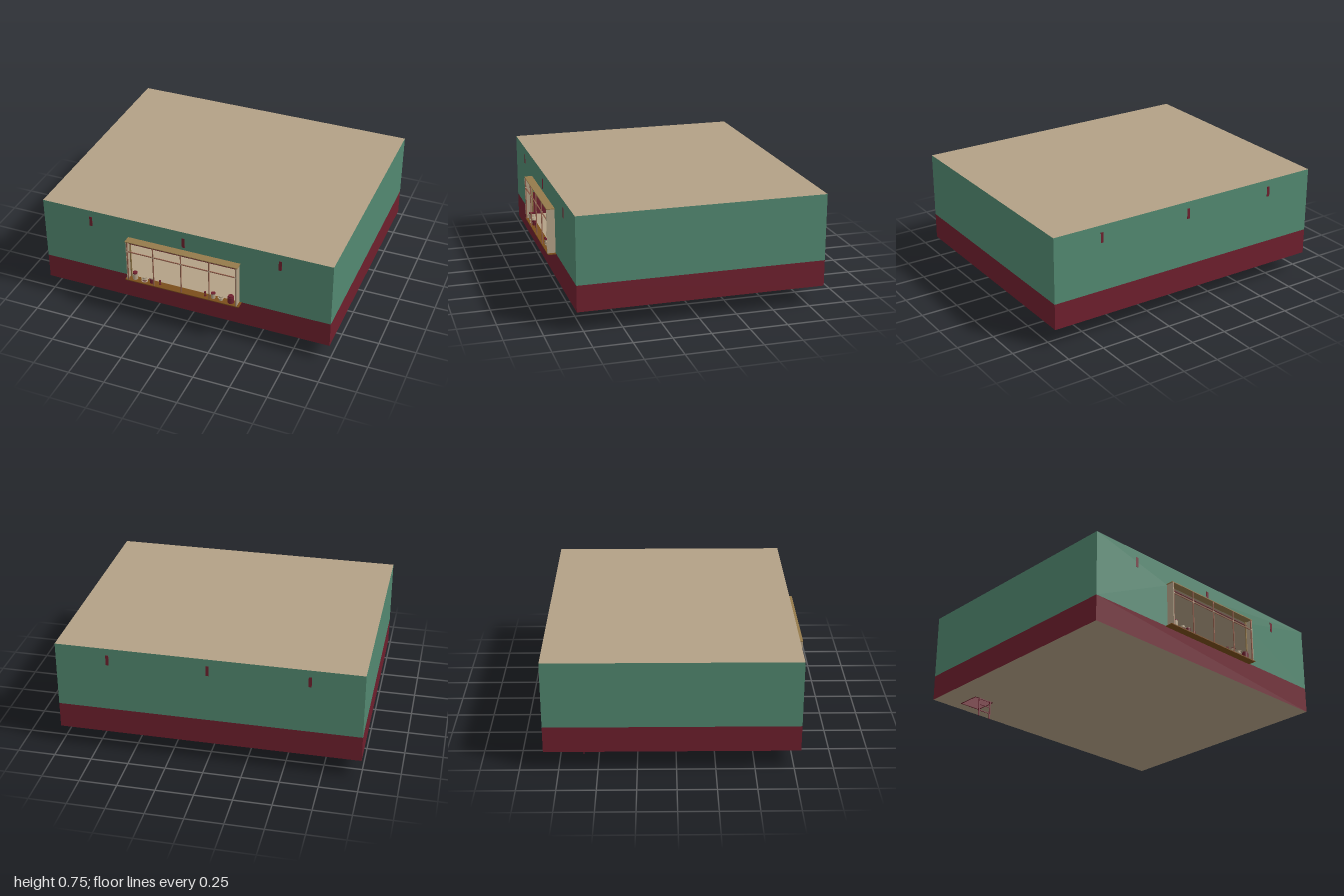
import * as THREE from 'three';

const paint = (name, color, side = THREE.FrontSide) => {
  const m = new THREE.MeshStandardMaterial({ color, side });
  m.name = name;
  return m;
};

// Rectangle outline with optional rectangular hole, each [x0, y0, x1, y1]
function panel([x0, y0, x1, y1], hole) {
  const trace = (p, [a, b, c, d]) => p.moveTo(a, b).lineTo(c, b).lineTo(c, d).lineTo(a, d).closePath();
  const s = trace(new THREE.Shape(), [x0, y0, x1, y1]);
  if (hole) s.holes.push(trace(new THREE.Path(), hole));
  return new THREE.ShapeGeometry(s);
}

export function createModel() {
  const room = new THREE.Group();
  room.name = 'diningRoom';
  const green = paint('green wall', 0x528870, THREE.DoubleSide);
  const maroon = paint('maroon', 0x6e1f2d, THREE.DoubleSide);
  const tan = paint('tan', 0xb3a186, THREE.DoubleSide);
  const wood = paint('light wood', 0x957a4b);
  const brown = paint('brown wood', 0x7a4d1a);
  const rust = paint('rust trim', 0x94604c);

  const add = (name, geo, mat, x = 0, y = 0, z = 0, parent = room) => {
    const m = new THREE.Mesh(geo, mat);
    m.name = name;
    m.position.set(x, y, z);
    parent.add(m);
    return m;
  };
  const box = (name, mat, w, h, d, x, y, z, parent) =>
    add(name, new THREE.BoxGeometry(w, h, d), mat, x, y, z, parent);

  const Z0 = -0.845, Z1 = 0.79, Y0 = 0.13, YW = 0.305, Y1 = 0.75;
  const midZ = (Z0 + Z1) / 2, depth = Z1 - Z0;

  // Front and back walls, the front one open at the bay window
  add('frontWall', panel([-1, YW, 1, Y1], [-0.38, YW + 0.001, 0.38, 0.606]), green, 0, 0, Z1);
  add('frontWainscot', panel([-1, Y0, 1, YW]), maroon, 0, 0, Z1);
  add('backWall', panel([-1, YW, 1, Y1]), green, 0, 0, Z0).rotation.y = Math.PI;
  add('backWainscot', panel([-1, Y0, 1, YW]), maroon, 0, 0, Z0).rotation.y = Math.PI;

  // Side walls
  for (const s of [-1, 1]) {
    add('sideWall', panel([-depth / 2, YW, depth / 2, Y1]), green, s, 0, midZ).rotation.y = s * Math.PI / 2;
    add('sideWainscot', panel([-depth / 2, Y0, depth / 2, YW]), maroon, s, 0, midZ).rotation.y = s * Math.PI / 2;
  }

  // Ceiling, and floor with its hatch opening
  add('ceiling', panel([-1, -Z1, 1, -Z0]), tan, 0, Y1, 0).rotation.x = -Math.PI / 2;
  add('floor', panel([-1, -Z1, 1, -Z0], [-0.82, 0.61, -0.68, 0.76]), tan, 0, Y0, 0).rotation.x = -Math.PI / 2;
  add('hatchRim', panel([-0.828, 0.602, -0.672, 0.768], [-0.82, 0.61, -0.68, 0.76]), maroon, 0, Y0 - 0.001, 0)
    .rotation.x = -Math.PI / 2;

  // Ladder below the hatch
  const ladder = new THREE.Group();
  ladder.name = 'ladder';
  room.add(ladder);
  for (const x of [-0.793, -0.703]) box('ladderRail', maroon, 0.009, 0.13, 0.007, x, 0.065, -0.6, ladder);
  for (const y of [0.04, 0.085, 0.125]) box('ladderRung', maroon, 0.09, 0.006, 0.006, -0.748, y, -0.6, ladder);

  // Wall light plates, let into both long walls
  for (const z of [Z0, Z1])
    for (const x of [-0.655, 0, 0.655]) box('lightPlate', maroon, 0.02, 0.07, 0.004, x, 0.667, z);

  // Bay window: sill, top board, cheeks and glazing bars
  const bay = new THREE.Group();
  bay.name = 'bayWindow';
  room.add(bay);
  const zf = 0.84, zm = 0.8175;
  box('sill', brown, 0.8, 0.007, 0.055, 0, 0.3035, zm, bay);
  box('topBoard', wood, 0.78, 0.006, 0.055, 0, 0.609, zm, bay);
  for (const s of [-1, 1]) {
    box('cheek', tan, 0.005, 0.3, 0.055, s * 0.3825, 0.456, zm, bay);
    box('innerPost', wood, 0.008, 0.3, 0.008, s * 0.376, 0.456, 0.795, bay);
  }
  for (const x of [-0.377, -0.195, 0, 0.195, 0.377]) box('mullion', rust, 0.006, 0.3, 0.007, x, 0.456, zf, bay);
  box('transom', rust, 0.76, 0.006, 0.006, 0, 0.533, zf, bay);
  for (const x of [-0.377, -0.195, 0, 0.195, 0.377]) box('joint', tan, 0.012, 0.01, 0.009, x, 0.533, zf, bay);
  for (const y of [0.567, 0.582]) box('curtainRod', maroon, 0.76, 0.005, 0.005, 0, y, 0.797, bay);

  // Crockery on the sill: stacks of discs [radius, height, material]
  const stack = (name, x, parts) => {
    const g = new THREE.Group();
    g.name = name;
    g.position.set(x, 0.307, 0.814);
    let y = 0;
    for (const [r, h, mat] of parts) {
      add(name + 'Part', new THREE.CylinderGeometry(r, r, h, 16), mat, 0, y + h / 2, 0, g);
      y += h;
    }
    bay.add(g);
  };
  stack('jar', -0.34, [[0.018, 0.044, tan], [0.016, 0.008, maroon]]);
  stack('cupStack', -0.273, [[0.022, 0.004, tan], [0.015, 0.012, maroon], [0.022, 0.004, tan], [0.015, 0.014, tan]]);
  stack('mug', -0.22, [[0.015, 0.034, maroon], [0.012, 0.006, tan]]);
  stack('candle', -0.162, [[0.007, 0.005, maroon], [0.003, 0.016, maroon], [0.006, 0.012, maroon]]);
  stack('candle', 0.157, [[0.007, 0.005, maroon], [0.003, 0.016, maroon], [0.006, 0.012, maroon]]);
  stack('tallCup', 0.213, [[0.014, 0.036, tan], [0.015, 0.004, maroon]]);
  stack('cupStack', 0.267, [[0.014, 0.016, tan], [0.021, 0.004, tan], [0.014, 0.014, tan], [0.02, 0.004, tan]]);
  stack('jar', 0.335, [[0.021, 0.042, maroon], [0.017, 0.01, maroon]]);

  return room;
}
